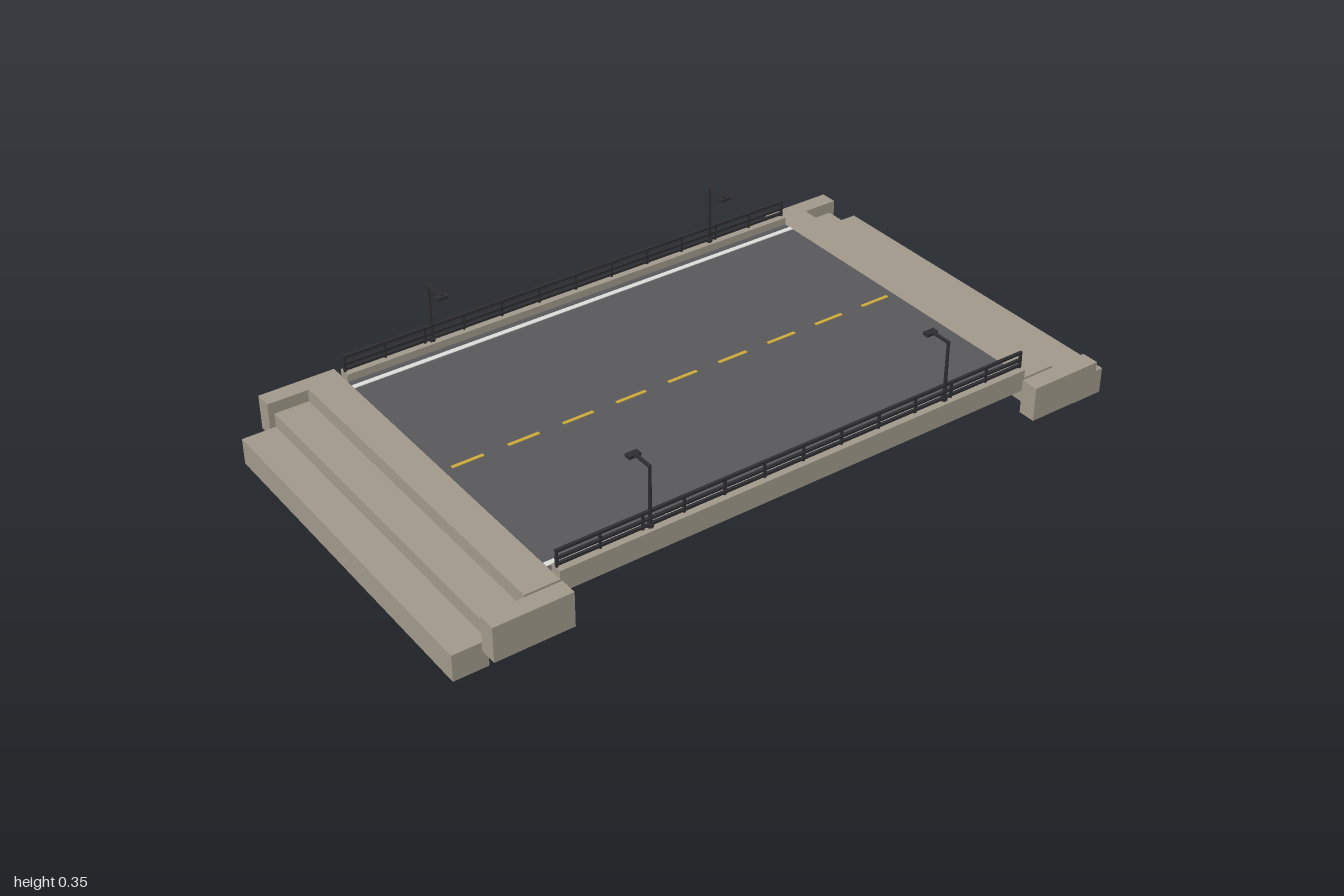
import * as THREE from 'three';

export function createModel() {
  const model = new THREE.Group();
  model.name = 'roadBridge';

  const material = (name, color) => {
    const m = new THREE.MeshStandardMaterial({ color });
    m.name = name;
    return m;
  };
  const concrete = material('concrete', 0xa0988a);
  const asphalt = material('asphalt', 0x58585b);
  const metal = material('darkMetal', 0x2e2e32);
  const white = material('whitePaint', 0xdcdcd8);
  const yellow = material('yellowPaint', 0xccaa3c);

  // Box given by its lower and upper limits on each axis
  const box = (parent, name, mat, [x0, x1], [y0, y1], [z0, z1]) => {
    const mesh = new THREE.Mesh(new THREE.BoxGeometry(x1 - x0, y1 - y0, z1 - z0), mat);
    mesh.position.set((x0 + x1) / 2, (y0 + y1) / 2, (z0 + z1) / 2);
    mesh.name = name;
    parent.add(mesh);
    return mesh;
  };
  const around = (c, size) => [c - size / 2, c + size / 2];
  const mirrored = (s, a, b) => (s > 0 ? [a, b] : [-b, -a]);

  // Road deck and centre dashes
  const END = 0.71, ROAD = 0.155, KERB = 0.177;
  box(model, 'roadDeck', asphalt, [-END, END], [0.117, ROAD], [-0.48, 0.48]);
  for (let i = -4; i <= 4; i++) {
    box(model, 'centreDash', yellow, around(i * 0.1605, 0.09), [ROAD, ROAD + 0.002], around(0, 0.01));
  }

  // Stepped abutments at both ends, with wing walls
  for (const s of [1, -1]) {
    const abutment = new THREE.Group();
    abutment.name = s > 0 ? 'leftAbutment' : 'rightAbutment';
    model.add(abutment);
    const edges = [1, 0.905, 0.807, END];
    for (let i = 0; i < 3; i++) {
      box(abutment, 'step', concrete, mirrored(s, edges[i + 1], edges[i]),
        [0.04 * i, 0.075 + 0.04 * i], [-0.516, 0.516]);
    }
    for (const t of [1, -1]) {
      box(abutment, 'wingWall', concrete, mirrored(s, 0.705, 0.921), [0.05, 0.149], mirrored(t, 0.516, 0.566));
    }
  }

  // Both road sides: edge line, kerb, railing and lamps
  for (const t of [1, -1]) {
    const side = new THREE.Group();
    side.name = t > 0 ? 'frontSide' : 'backSide';
    model.add(side);
    const z = t * 0.497;
    box(side, 'edgeLine', white, [-END, END], [ROAD, ROAD + 0.002], mirrored(t, 0.444, 0.459));
    box(side, 'kerb', concrete, [-END, END], [0.116, KERB], mirrored(t, 0.48, 0.515));

    for (const y of [0.222, 0.201, 0.185]) {
      box(side, 'rail', metal, [-END, END], around(y, 0.007), around(z, 0.008));
    }
    for (let i = -6; i <= 6; i++) {
      box(side, 'railPost', metal, around(i * 0.1178, 0.006), [KERB, 0.222], around(z, 0.006));
    }

    for (const x of [-0.45, 0.45]) {
      const lamp = new THREE.Group();
      lamp.name = 'streetLamp';
      side.add(lamp);
      const cylinder = (name, r0, r1, y0, y1) => {
        const mesh = new THREE.Mesh(new THREE.CylinderGeometry(r1, r0, y1 - y0, 8), metal);
        mesh.position.set(x, (y0 + y1) / 2, z);
        mesh.name = name;
        lamp.add(mesh);
      };
      cylinder('lampBase', 0.009, 0.009, KERB, 0.187);
      cylinder('lampPole', 0.005, 0.004, 0.187, 0.35);
      box(lamp, 'lampArm', metal, around(x, 0.007), [0.344, 0.351], mirrored(t, 0.427, 0.5));
      box(lamp, 'lampHead', metal, around(x, 0.034), [0.338, 0.346], mirrored(t, 0.421, 0.44));
    }
  }
  return model;
}
